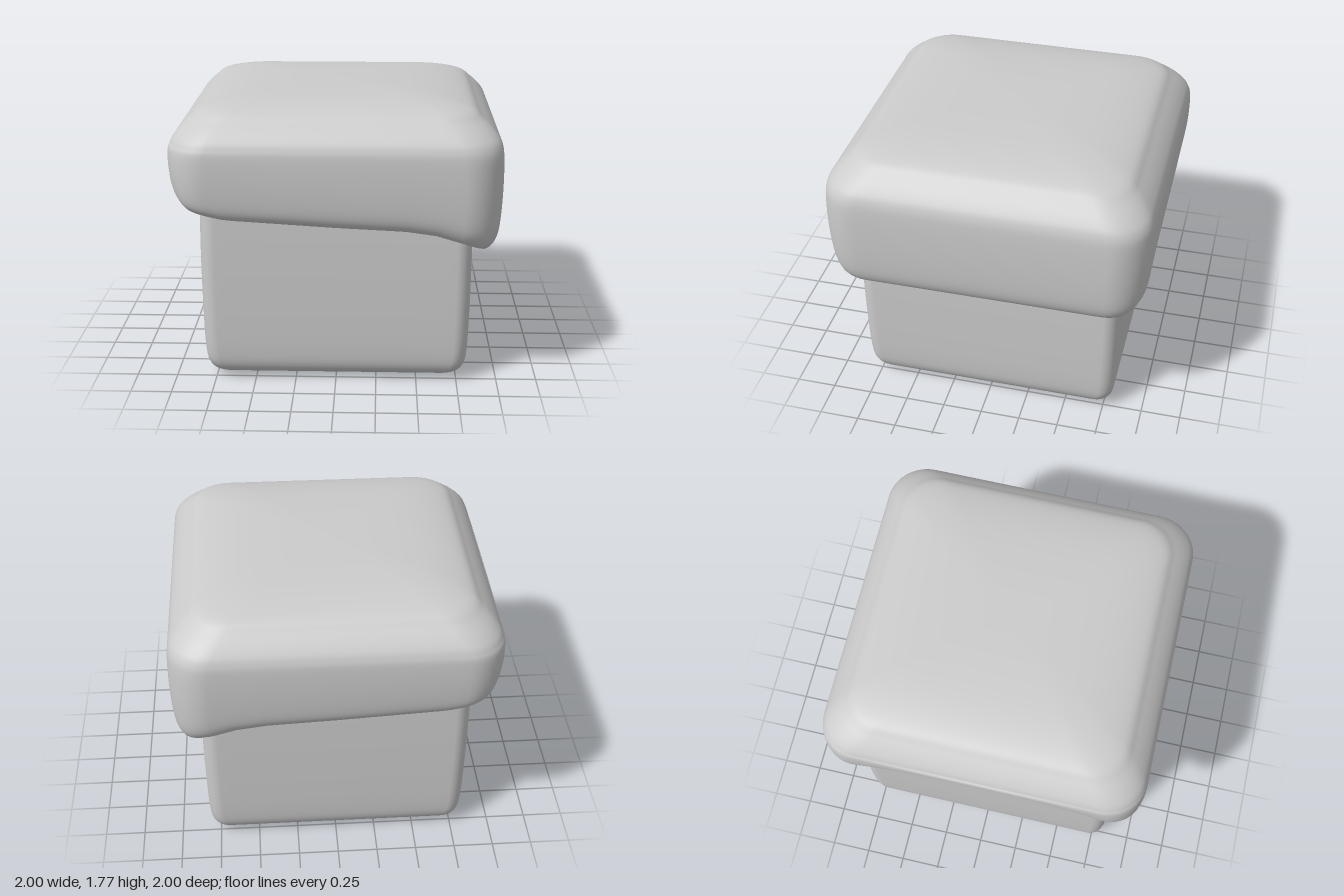
import * as THREE from 'three';

const material = new THREE.MeshStandardMaterial({ color: 0xcccccc });

// Rounded square outline of half width 1 with corner radius r, as [x, z] points
function outline(r, sideSteps = 24, cornerSteps = 10) {
  const points = [];
  for (let q = 0; q < 4; q++) {
    const c = Math.cos(q * Math.PI / 2), s = Math.sin(q * Math.PI / 2);
    const add = (x, z) => points.push([x * c - z * s, x * s + z * c]);
    for (let i = 0; i < sideSteps; i++) add(1, (1 - r) * (2 * i / sideSteps - 1));
    for (let i = 0; i < cornerSteps; i++) {
      const a = i / cornerSteps * Math.PI / 2;
      add(1 - r + r * Math.cos(a), 1 - r + r * Math.sin(a));
    }
  }
  return points;
}

// Stack of outlines following a profile of [half width, height], top to bottom
function loft(name, profile, rTop, rBottom, rows, heightAt = (y) => y) {
  const curve = new THREE.SplineCurve(profile.map(([h, y]) => new THREE.Vector2(h, y)));
  const positions = [], index = [];
  const count = outline(rTop).length;
  for (let i = 0; i <= rows; i++) {
    const p = curve.getPoint(i / rows);
    const h = Math.max(p.x, 0);
    for (const [x, z] of outline(THREE.MathUtils.lerp(rTop, rBottom, i / rows))) {
      positions.push(x * h, heightAt(p.y, x, z), z * h);
    }
  }
  for (let i = 0; i < rows; i++) {
    for (let j = 0; j < count; j++) {
      const a = i * count + j, b = i * count + (j + 1) % count;
      index.push(a, b, a + count, b, b + count, a + count);
    }
  }
  const geometry = new THREE.BufferGeometry();
  geometry.setAttribute('position', new THREE.Float32BufferAttribute(positions, 3));
  geometry.setIndex(index);
  geometry.computeVertexNormals();
  const mesh = new THREE.Mesh(geometry, material);
  mesh.name = name;
  return mesh;
}

// Height of the lid's lower edge: sloping along x, arched on the -x side
const RIM = [[-1, 1.14], [-0.85, 1.11], [-0.7, 1.08], [0, 1.04], [0.45, 1.02],
  [0.65, 0.995], [0.85, 0.94], [0.96, 0.89], [1, 0.89]];
function rimHeight(x, z) {
  let k = 0;
  while (k < RIM.length - 2 && x > RIM[k + 1][0]) k++;
  const [x0, y0] = RIM[k], [x1, y1] = RIM[k + 1];
  const slope = y0 + (y1 - y0) * (x - x0) / (x1 - x0);
  const arch = 0.27 * (1 - Math.min(1, Math.abs(z / 0.95)) ** 2.5);
  return slope + arch * THREE.MathUtils.smoothstep(-x, 0.7, 0.95);
}

// The wall below WALL_TOP is stretched so that its lowest point meets the rim
const WALL_TOP = 1.52, LOWEST = 0.89;
function lidHeight(y, x, z) {
  if (y >= WALL_TOP) return y;
  const rim = rimHeight(x, z);
  return rim + (y - LOWEST) / (WALL_TOP - LOWEST) * (WALL_TOP - rim);
}

export function createModel() {
  const group = new THREE.Group();
  group.name = 'boxWithDrapedLid';

  // Box body with soft lower edges
  group.add(loft('body', [[0, 1.5], [0.4, 1.5], [0.8, 1.49], [0.82, 1.4], [0.826, 1.1], [0.828, 0.8],
    [0.824, 0.45], [0.815, 0.2], [0.795, 0.09], [0.745, 0.035], [0.65, 0.013], [0.4, 0.003], [0, 0]],
    0.11, 0.11, 60));

  // Domed lid with a rolled lip that closes onto the body
  group.add(loft('lid', [[0, 1.775], [0.3, 1.771], [0.6, 1.752], [0.8, 1.712], [0.88, 1.655], [0.95, 1.585],
    [0.988, 1.52], [1, 1.42], [0.998, 1.2], [0.982, 1.0], [0.95, 0.91], [0.91, 0.89],
    [0.87, 0.905], [0.8, 0.94]], 0.28, 0.2, 78, lidHeight));

  return group;
}
